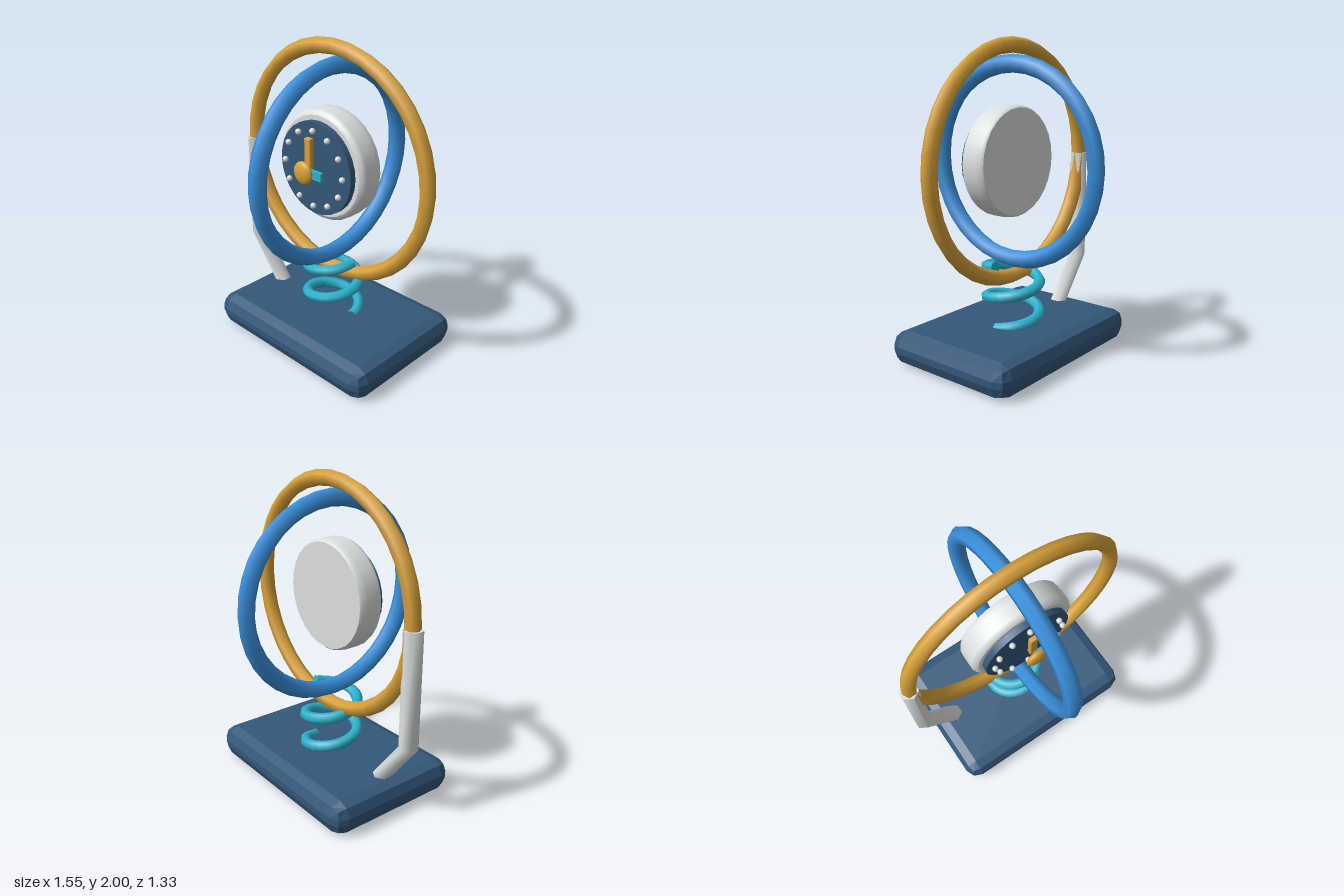
import * as THREE from 'three';
import { RoundedBoxGeometry } from 'three/addons/geometries/RoundedBoxGeometry.js';

const material = (name, color) => Object.assign(new THREE.MeshStandardMaterial({ color }), { name });

export function createModel() {
  const model = new THREE.Group();
  const navy = material('navy', 0x34587a);
  const gold = material('gold', 0xd9a23a);
  const blue = material('blue', 0x3a90dd);
  const white = material('white', 0xdde0e0);
  const cyan = material('cyan', 0x2db4cf);
  cyan.side = THREE.DoubleSide;

  const add = (name, geometry, mat, x = 0, y = 0, z = 0, parent = model) => {
    const mesh = new THREE.Mesh(geometry, mat);
    mesh.name = name;
    mesh.position.set(x, y, z);
    parent.add(mesh);
    return mesh;
  };

  // Faceted base with chamfered corners
  let baseGeo = new RoundedBoxGeometry(1.306, 0.212, 0.926, 1, 0.085);
  if (baseGeo.index) baseGeo = baseGeo.toNonIndexed();
  baseGeo.computeVertexNormals();
  add('base', baseGeo, navy, 0, 0.108, 0);

  // Two crossed rings
  add('outerRing', new THREE.TorusGeometry(0.721, 0.049, 6, 36), gold, 0, 1.23, 0);
  add('innerRing', new THREE.TorusGeometry(0.61, 0.056, 6, 36).rotateY(Math.PI / 2), blue, 0, 1.23, 0);

  // Bent six-sided arm: horizontal sections moved onto a three-point path
  const armPath = [[-0.47, 0.165], [-0.725, 0.495], [-0.725, 1.227]];
  const armGeo = new THREE.CylinderGeometry(0.06, 0.06, 2, 6, 2);
  const p = armGeo.attributes.position;
  for (let i = 0; i < p.count; i++) {
    const [x, y] = armPath[Math.round(p.getY(i)) + 1];
    p.setXYZ(i, p.getX(i) + x, y, p.getZ(i));
  }
  armGeo.computeVertexNormals();
  add('supportArm', armGeo, white);

  // Coil spring, two turns
  const coil = [];
  for (let i = 0; i <= 32; i++) {
    const t = i / 32, a = t * Math.PI * 4;
    coil.push(new THREE.Vector3(0.17 * Math.cos(a), 0.2 + 0.4 * t, -0.17 * Math.sin(a)));
  }
  const coilCurve = new THREE.CatmullRomCurve3(coil);
  add('spring', new THREE.TubeGeometry(coilCurve, 48, 0.036, 6), cyan);
  const endCap = add('springEnd', new THREE.CircleGeometry(0.036, 6), cyan, 0.17, 0.6, 0);
  endCap.lookAt(coilCurve.getPoint(1).add(coilCurve.getTangent(1)));

  // Clock, facing +z
  const clock = new THREE.Group();
  clock.name = 'clock';
  clock.position.y = 1.243;
  model.add(clock);

  const profile = [[0, -0.05], [0.335, -0.05], [0.335, -0.05], [0.346, -0.035], [0.351, 0], [0.351, 0.085],
    [0.341, 0.108], [0.32, 0.12], [0.32, 0.12], [0, 0.12]].map(([r, y]) => new THREE.Vector2(r, y));
  add('clockBody', new THREE.LatheGeometry(profile, 28).rotateX(Math.PI / 2), white, 0, 0, 0, clock);
  add('clockFace', new THREE.CylinderGeometry(0.293, 0.293, 0.06, 28).rotateX(Math.PI / 2), navy, 0, -0.003, 0.13, clock);

  // Hour markers
  const dot = new THREE.SphereGeometry(0.019, 10, 8);
  for (let i = 0; i < 12; i++) {
    const a = i * Math.PI / 6;
    add('hourMarker', dot, white, 0.24 * Math.cos(a), 0.24 * Math.sin(a), 0.177, clock);
  }

  // Hands and centre knob
  add('longHand', new RoundedBoxGeometry(0.05, 0.21, 0.034, 1, 0.008), gold, 0, 0.102, 0.207, clock);
  add('shortHand', new THREE.BoxGeometry(0.14, 0.052, 0.024), cyan, 0.062, 0, 0.232, clock);
  add('knob', new THREE.SphereGeometry(0.073, 14, 10).scale(1, 1, 0.4), gold, 0, 0, 0.257, clock);

  return model;
}
